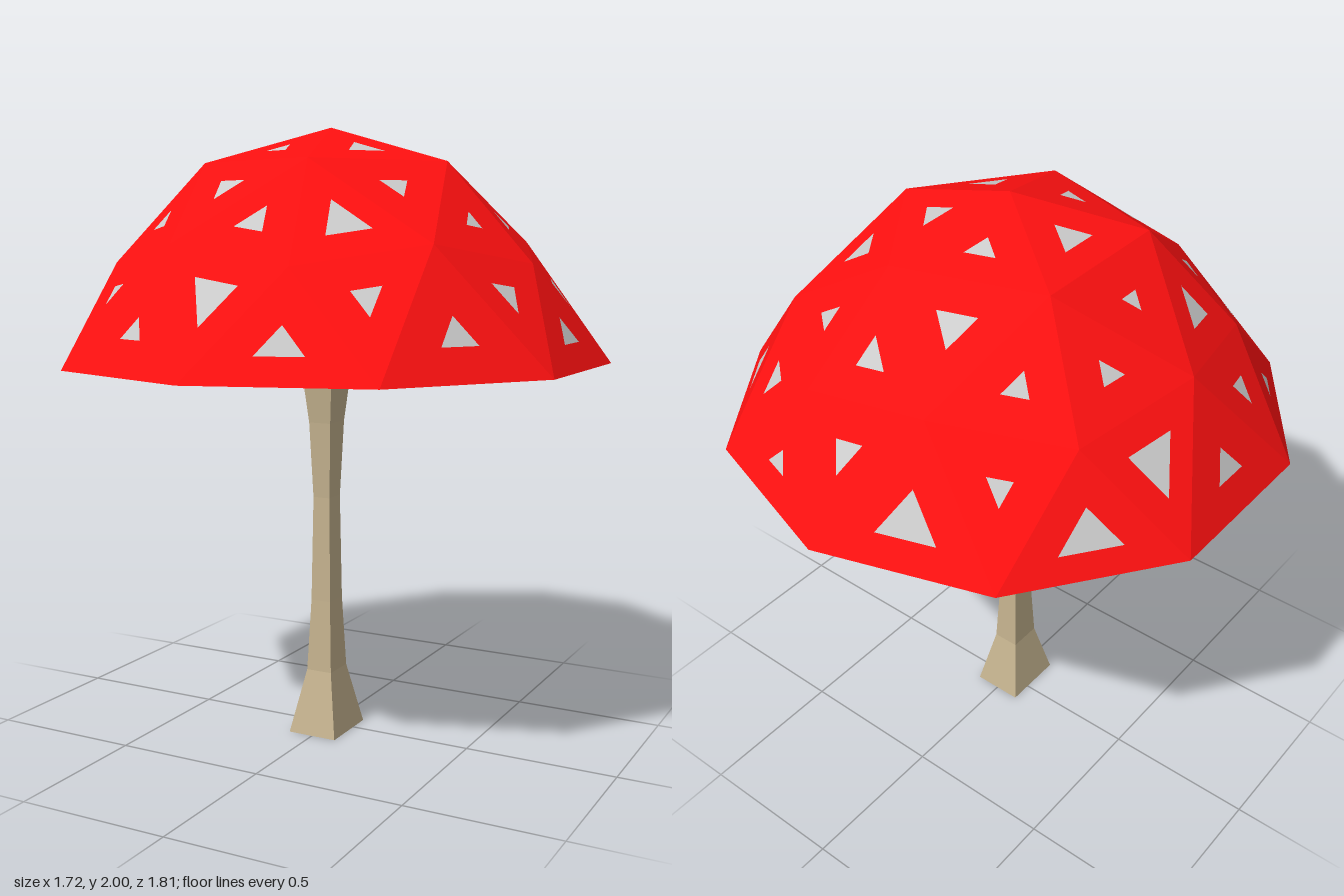
import * as THREE from 'three';

const BASE_Y = 1.255, RADIUS = 0.773, CENTRE_Y = 2 - RADIUS, RIM = 0.905;

// Point on a level ring, angle in degrees from +x towards +z
function ringPoint(radius, y, degrees) {
  const a = THREE.MathUtils.degToRad(degrees);
  return new THREE.Vector3(radius * Math.cos(a), y, radius * Math.sin(a));
}

function flatMesh(name, points, color) {
  const geometry = new THREE.BufferGeometry().setFromPoints(points);
  geometry.computeVertexNormals();
  const mesh = new THREE.Mesh(geometry, new THREE.MeshStandardMaterial({ color, flatShading: true }));
  mesh.name = name;
  return mesh;
}

// Spot size relative to its facet, five values around the cap for each kind of facet
const SPOTS = {
  crown: [0.26, 0.19, 0.27, 0.2, 0.25],
  crownGap: [0.2, 0.23, 0.14, 0.26, 0.26],
  sideA: [0.16, 0.24, 0.3, 0.19, 0.2],
  sideB: [0.2, 0.33, 0.2, 0.18, 0.24],
  rimA: [0.24, 0.26, 0.18, 0.34, 0.17],
  lowerA: [0.23, 0.36, 0.2, 0.18, 0.22],
  rimB: [0.22, 0.17, 0.22, 0.33, 0.29],
  lowerB: [0.22, 0.17, 0.37, 0.23, 0.23],
};

function createCap() {
  const capPoints = [], spotPoints = [];
  const middle = new THREE.Vector3(0, BASE_Y - 0.1, 0);

  // One facet turned outwards, with a shrunken copy just above it as its spot
  function facet(a, b, c, spot) {
    const centre = new THREE.Vector3().add(a).add(b).add(c).divideScalar(3);
    const normal = b.clone().sub(a).cross(c.clone().sub(a)).normalize();
    let corners = [a, b, c];
    if (normal.dot(centre.clone().sub(middle)) < 0) {
      corners = [a, c, b];
      normal.negate();
    }
    capPoints.push(...corners);
    for (const p of corners) {
      spotPoints.push(centre.clone().lerp(p, spot).addScaledVector(normal, 0.002));
    }
  }

  // Rings of a half geodesic dome with a flared rim
  const top = new THREE.Vector3(0, 2, 0);
  const crown = i => ringPoint(0.526 * RADIUS, CENTRE_Y + 0.851 * RADIUS, 72 * i);
  const upper = i => ringPoint(0.894 * RADIUS, CENTRE_Y + 0.447 * RADIUS, 72 * i);
  const mid = i => ringPoint(0.851 * RADIUS, CENTRE_Y + 0.526 * RADIUS, 72 * i + 36);
  const rim = k => ringPoint(RIM, BASE_Y, 18 + 36 * k);

  for (let i = 0; i < 5; i++) {
    facet(top, crown(i), crown(i + 1), SPOTS.crown[i]);
    facet(crown(i), crown(i + 1), mid(i), SPOTS.crownGap[i]);
    facet(crown(i), mid(i), upper(i), SPOTS.sideA[i]);
    facet(crown(i), upper(i), mid(i - 1), SPOTS.sideB[i]);
    facet(upper(i), rim(2 * i), rim(2 * i - 1), SPOTS.rimA[i]);
    facet(upper(i), mid(i), rim(2 * i), SPOTS.lowerA[i]);
    facet(mid(i), rim(2 * i), rim(2 * i + 1), SPOTS.rimB[i]);
    facet(mid(i), upper(i + 1), rim(2 * i + 1), SPOTS.lowerB[i]);
  }

  // Flat underside
  const hub = new THREE.Vector3(0, BASE_Y, 0);
  for (let k = 0; k < 10; k++) capPoints.push(hub, rim(k), rim(k + 1));

  const cap = new THREE.Group();
  cap.name = 'cap';
  cap.add(flatMesh('capShell', capPoints, 0xff1010), flatMesh('capSpots', spotPoints, 0xcccccc));
  return cap;
}

// Four-sided stem, waisted in the middle: rows of height, half width, half depth
function createStem() {
  const rows = [
    [0, 0.085, 0.107],
    [0.21, 0.045, 0.056],
    [0.45, 0.035, 0.043],
    [0.8, 0.03, 0.037],
    [1.05, 0.039, 0.049],
    [BASE_Y, 0.058, 0.074],
  ];
  const last = rows.length - 1;
  const geometry = new THREE.BoxGeometry(2, last, 2, 1, last, 1);
  const pos = geometry.attributes.position;
  for (let i = 0; i < pos.count; i++) {
    const [y, w, d] = rows[Math.round(pos.getY(i) + last / 2)];
    pos.setXYZ(i, pos.getX(i) * w, y, pos.getZ(i) * d + 0.032);
  }
  const flat = geometry.toNonIndexed();
  flat.computeVertexNormals();
  const stem = new THREE.Mesh(flat, new THREE.MeshStandardMaterial({ color: 0xc4b28e, flatShading: true }));
  stem.name = 'stem';
  return stem;
}

export function createModel() {
  const model = new THREE.Group();
  model.name = 'mushroom';
  model.add(createCap(), createStem());
  return model;
}
